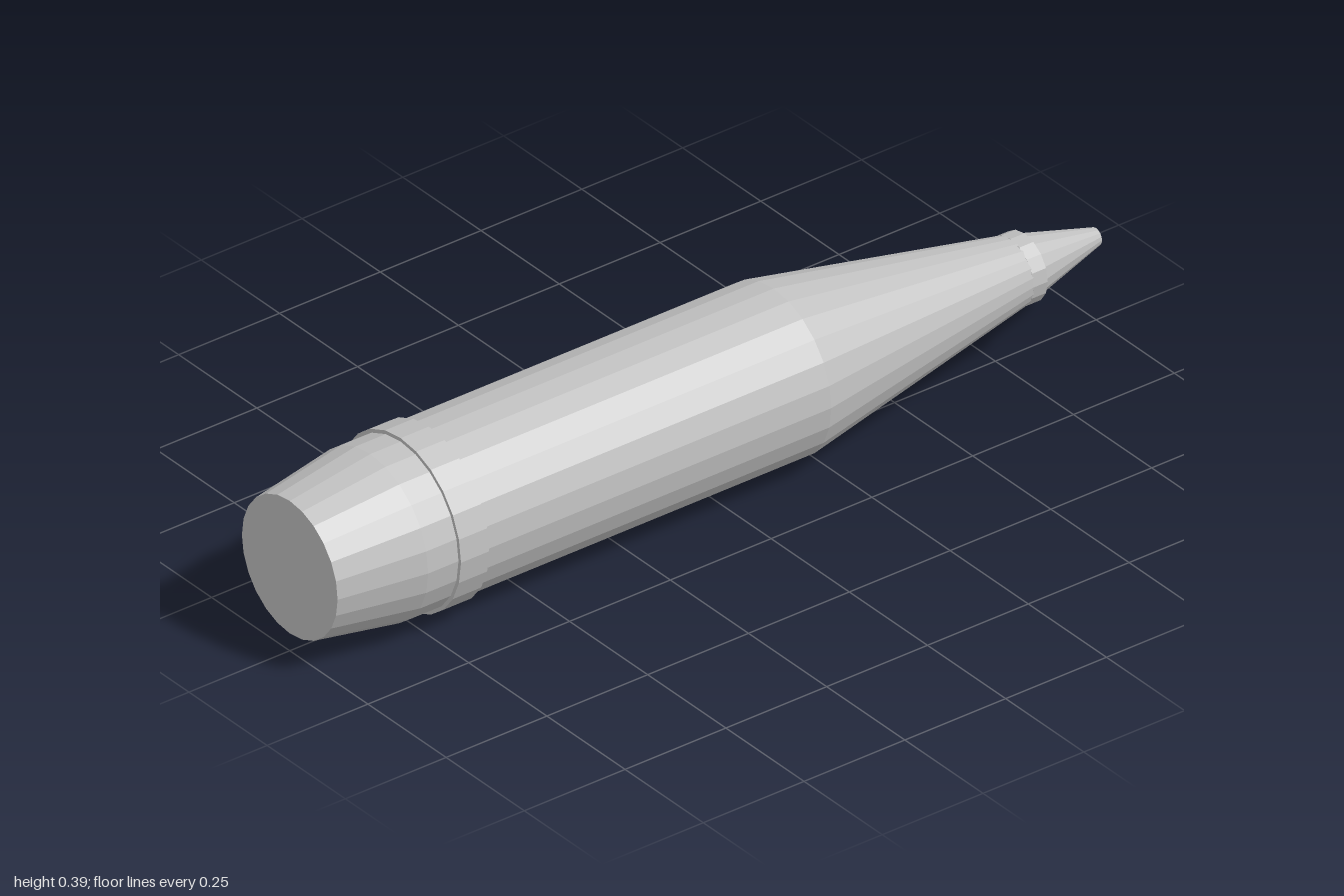
import * as THREE from 'three';

export function createModel() {
  const model = new THREE.Group();
  const grey = new THREE.MeshStandardMaterial({ color: 0xc0c0c0, flatShading: true });
  grey.name = 'grey metal';

  const axisHeight = 0.193;

  // Round section along x, from x0 (radius r0) to x1 (radius r1)
  function section(name, x0, r0, x1, r1, sides, open = false) {
    const geometry = new THREE.CylinderGeometry(r1, r0, x1 - x0, sides, 1, open);
    geometry.rotateZ(-Math.PI / 2);
    const mesh = new THREE.Mesh(geometry, grey);
    mesh.name = name;
    mesh.position.set((x0 + x1) / 2, axisHeight, 0);
    model.add(mesh);
  }

  // Shell body
  section('taperedBase', -1, 0.153, -0.8, 0.185, 24);
  section('body', -0.8, 0.185, 0.2, 0.185, 24, true);
  section('noseCone', 0.2, 0.185, 0.8, 0.072, 24);

  // Raised bands
  section('drivingBand', -0.725, 0.193, -0.655, 0.193, 24);
  section('noseRing', 0.787, 0.075, 0.822, 0.075, 16);

  // Blunt tip
  section('tip', 0.822, 0.067, 1, 0.019, 16);

  return model;
}
